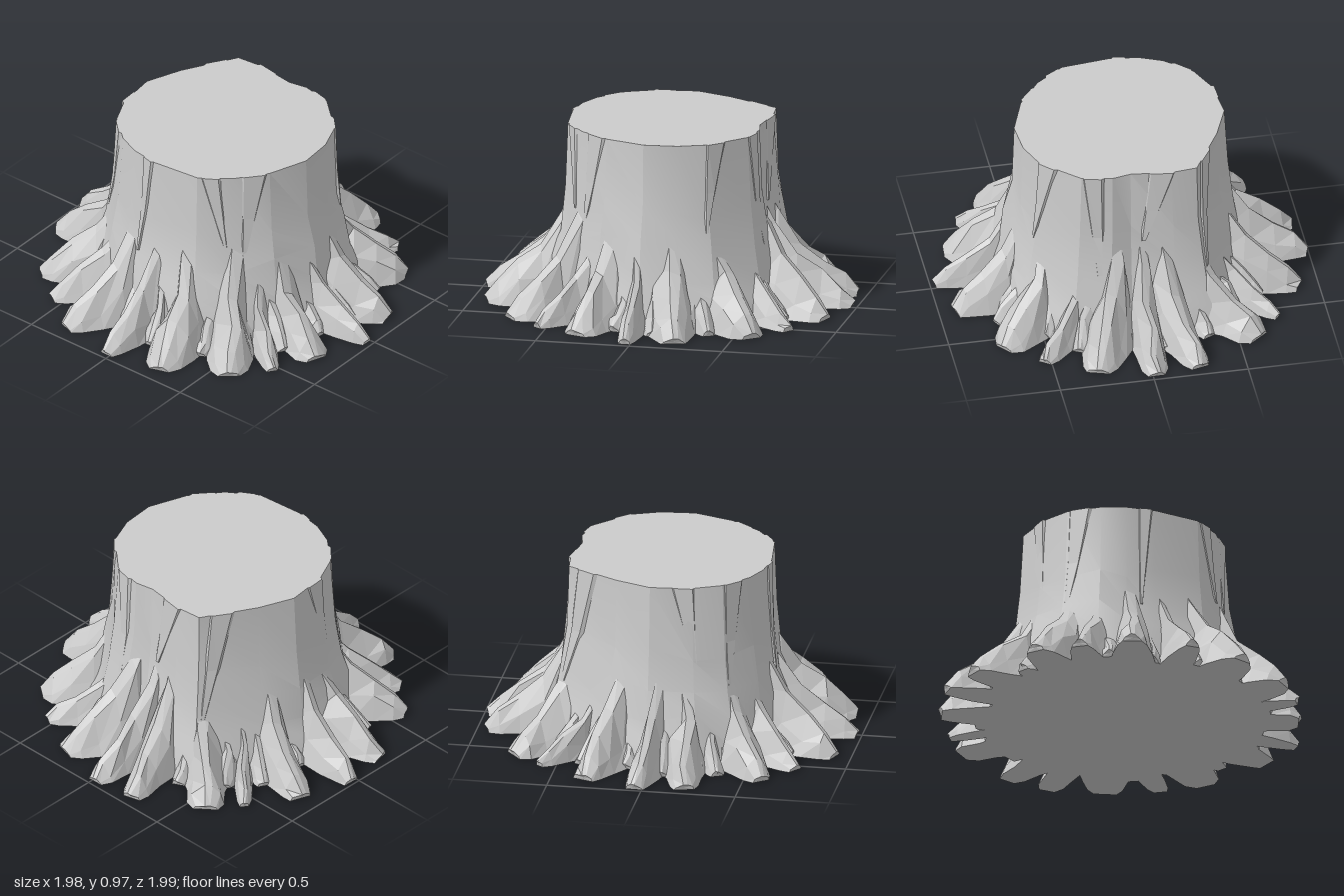
import * as THREE from 'three';
import { toCreasedNormals } from 'three/addons/utils/BufferGeometryUtils.js';

const material = new THREE.MeshStandardMaterial({ color: 0xcccccc, flatShading: true });
const smoothMaterial = new THREE.MeshStandardMaterial({ color: 0xcccccc });

// Seeded jitter in -1..1
let seed = 7;
const jitter = () => {
  seed = (seed * 16807) % 2147483647;
  return (seed / 2147483647) * 2 - 1;
};

// Skin a list of equal-length rings and cap both ends
function loft(rings) {
  const n = rings[0].length, pos = [], index = [];
  rings.forEach(r => r.forEach(p => pos.push(p.x, p.y, p.z)));
  for (let i = 0; i < rings.length - 1; i++) {
    for (let j = 0; j < n; j++) {
      const a = i * n + j, b = i * n + (j + 1) % n;
      index.push(a, a + n, b + n, a, b + n, b);
    }
  }
  [0, rings.length - 1].forEach(i => {
    const c = new THREE.Vector3();
    rings[i].forEach(p => c.addScaledVector(p, 1 / n));
    const k = pos.length / 3;
    pos.push(c.x, c.y, c.z);
    for (let j = 0; j < n; j++) {
      const a = i * n + j, b = i * n + (j + 1) % n;
      if (i) index.push(k, b, a); else index.push(k, a, b);
    }
  });
  const g = new THREE.BufferGeometry();
  g.setAttribute('position', new THREE.Float32BufferAttribute(pos, 3));
  g.setIndex(index);
  const flat = g.toNonIndexed();
  flat.computeVertexNormals();
  return flat;
}

// Outline of the cut top (x, z), and the flare of the trunk (height, scale)
const outline = [[-.46, -.32], [-.34, -.46], [-.19, -.53], [.03, -.555], [.22, -.48], [.5, -.32],
  [.515, -.18], [.49, .03], [.51, .13], [.48, .29], [.31, .48], [.16, .54], [-.02, .555],
  [-.23, .48], [-.39, .36], [-.5, .21], [-.53, -.05], [-.51, -.2]];
const flare = [[0, 1.26], [.12, 1.21], [.26, 1.15], [.42, 1.09], [.6, 1.04], [.97, 1]];

function flareAt(y) {
  const i = Math.max(1, flare.findIndex(f => f[0] >= y));
  const [y0, s0] = flare[i - 1], [y1, s1] = flare[i];
  return s0 + (s1 - s0) * (y - y0) / (y1 - y0);
}

// Point on the trunk at fractional outline index u and height y
function trunkPoint(u, y, scale = 1) {
  const n = outline.length, i = Math.floor(u), t = u - i;
  const a = outline[(i + n) % n], b = outline[(i + 1 + n) % n], s = flareAt(y) * scale;
  return new THREE.Vector3((a[0] + (b[0] - a[0]) * t) * s, y, (a[1] + (b[1] - a[1]) * t) * s);
}

function trunkGeometry() {
  const rings = flare.map(([y], i) => outline.map((_, j) => {
    const inner = i > 0 && i < flare.length - 1;
    const p = trunkPoint(j, y, inner ? 1 + jitter() * .02 : 1);
    if (inner) p.y += jitter() * .05;
    return p;
  }));
  return toCreasedNormals(loft(rings), .35);
}

// Bark plate: a broad shallow slab tapering down the trunk
function plateGeometry(u, width, yTop, yLow, lean) {
  return loft([0, .45, 1].map(t => {
    const y = yLow + (yTop - yLow) * t, w = width * (.15 + .85 * t), c = u + lean * (1 - t);
    return [trunkPoint(c - w, y, .96), trunkPoint(c - w * .5, y, 1 + .022 * t),
      trunkPoint(c + w * .6, y, 1 + .012 * t), trunkPoint(c + w, y, .96)];
  }));
}

// Root: craggy arched sections from inside the trunk out to a blunt tip
// Section: [distance, height, width, shoulder spread]
const sections = [[0, .66, 1.3, .5], [.2, .47, 1.55, .55], [.42, .29, 1.5, .6],
  [.66, .2, 1.25, .68], [.86, .115, 1, .75], [1, .035, .65, .8]];

function rootGeometry(x, z, width, height) {
  const reach = Math.hypot(x, z) * 1.012, start = .46;
  const out = new THREE.Vector3(x, 0, z).normalize();
  const side = new THREE.Vector3(out.z, 0, -out.x);
  const bend = jitter() * .05;
  return loft(sections.map(([t, h, w, shoulder], i) => {
    const tip = i === sections.length - 1;
    const r = start + (reach - start) * t;
    const half = width * w / 2 * (1 + jitter() * .12);
    const top = h * (tip ? 1 : height * (1 + jitter() * .08));
    const crest = jitter() * .25;
    const at = (s, y) => new THREE.Vector3()
      .addScaledVector(out, r - (tip ? Math.abs(s) * .02 : 0))
      .addScaledVector(side, s * half + bend * (1 - t)).setY(y);
    return [at(-1, 0), at(-shoulder, top * (.5 + jitter() * .18)), at(crest - .15, top),
      at(crest + .25, top * .92), at(shoulder + .05, top * (.45 + jitter() * .18)), at(1, 0)];
  }));
}

// Main roots: tip x, tip z, width, height factor
const roots = [[.04, -.99, .13, 1], [.33, -.9, .17, 1.05], [.59, -.74, .08, .7], [.75, -.61, .18, 1],
  [.95, -.26, .14, 1], [.98, -.02, .13, .95], [.9, .28, .18, 1.05], [.76, .54, .1, .75],
  [.6, .73, .18, 1.05], [.37, .73, .1, .8], [.22, .92, .18, 1.05], [-.03, .98, .1, .9],
  [-.32, .87, .18, 1.05], [-.55, .76, .09, .75], [-.73, .61, .18, 1.05], [-.92, .29, .19, 1.05],
  [-.98, -.02, .11, .9], [-.92, -.34, .17, 1.05], [-.75, -.57, .14, .9], [-.6, -.76, .15, 1],
  [-.36, -.73, .1, .8], [-.22, -.95, .16, 1.05]];

// Bark plates: outline index, half width, top, bottom, lean
const plates = [[.6, .5, .97, .4, .3], [2.2, .4, .97, .5, -.3], [4.6, .3, .97, .35, .3],
  [6.2, .5, .97, .55, .5], [8.6, .5, .97, .3, -.3], [9.8, .35, .97, .5, .3], [13.4, .5, .97, .5, .3],
  [14.6, .4, .97, .55, -.4], [16.3, .35, .97, .4, .2]];

export function createModel() {
  const model = new THREE.Group();
  model.name = 'treeStump';
  const add = (name, geometry, mat = material) => {
    const mesh = new THREE.Mesh(geometry, mat);
    mesh.name = name;
    model.add(mesh);
  };

  add('trunk', trunkGeometry(), smoothMaterial);
  plates.forEach((p, i) => add(`barkPlate${i + 1}`, plateGeometry(...p)));
  roots.forEach((r, i) => add(`root${i + 1}`, rootGeometry(...r)));

  // Short rootlets filling the gaps between the main roots
  roots.forEach(([x, z], i) => {
    const [x2, z2] = roots[(i + 1) % roots.length];
    const dir = new THREE.Vector2(x + x2, z + z2).setLength(.76 + jitter() * .05);
    add(`rootlet${i + 1}`, rootGeometry(dir.x, dir.y, .1, .78 + jitter() * .14));
  });
  return model;
}
